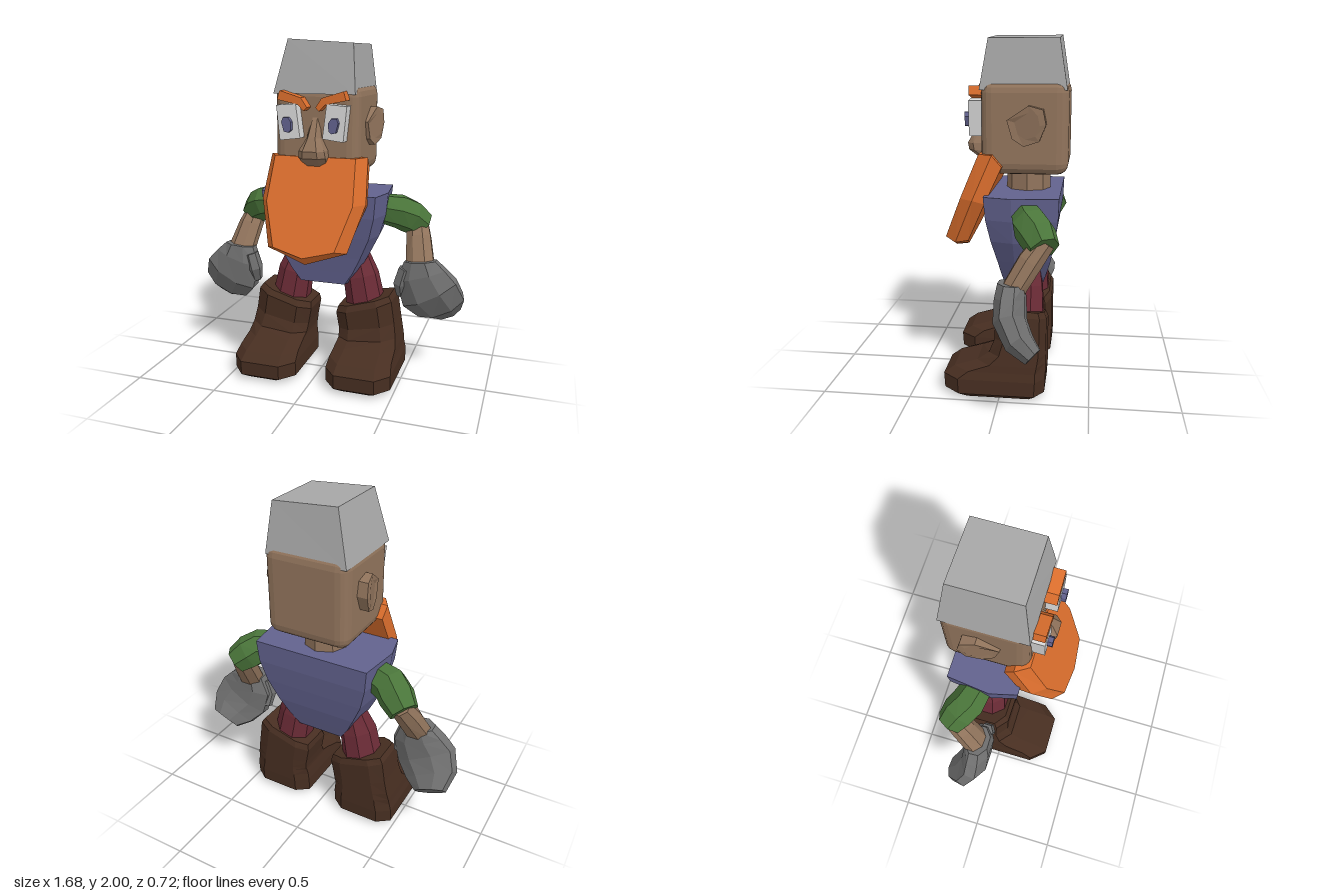
import * as THREE from 'three';
import { RoundedBoxGeometry } from 'three/addons/geometries/RoundedBoxGeometry.js';

const V = (x, y, z) => new THREE.Vector3(x, y, z);

// Skins a list of equal-length rings of points, closes both ends, faces outward.
function loft(rings) {
  const tris = [];
  const mid = r => r.reduce((a, p) => a.add(p), V(0, 0, 0)).divideScalar(r.length);
  const n = rings[0].length, last = rings[rings.length - 1];
  const c0 = mid(rings[0]), c1 = mid(last);
  for (let j = 0; j < n; j++) {
    const k = (j + 1) % n;
    for (let i = 0; i + 1 < rings.length; i++) {
      const a = rings[i], b = rings[i + 1];
      tris.push([a[j], a[k], b[k]], [a[j], b[k], b[j]]);
    }
    tris.push([c0, rings[0][k], rings[0][j]], [c1, last[j], last[k]]);
  }
  let volume = 0;
  for (const [a, b, c] of tris) volume += a.dot(b.clone().cross(c));
  const pts = tris.flatMap(([a, b, c]) => (volume < 0 ? [a, c, b] : [a, b, c]));
  const g = new THREE.BufferGeometry().setFromPoints(pts);
  g.computeVertexNormals();
  return g;
}

// Limb along a path; each stop is [x, y, z, half width, half depth].
function limb(stops, s, n = 8, wide = V(1, 0, 0)) {
  const c = stops.map(p => V(p[0], p[1], p[2]));
  return loft(stops.map((p, i) => {
    const t = c[Math.min(i + 1, c.length - 1)].clone().sub(c[Math.max(i - 1, 0)]).normalize();
    const u = wide.clone().addScaledVector(t, -wide.dot(t)).normalize();
    const v = t.clone().cross(u);
    return Array.from({ length: n }, (_, j) => {
      const a = (j + 0.5) / n * Math.PI * 2;
      const q = c[i].clone().addScaledVector(u, Math.cos(a) * p[3]).addScaledVector(v, Math.sin(a) * p[4]);
      q.x *= s;
      return q;
    });
  }));
}

// Outline in x, y pushed from z0 to z1.
const slab = (outline, z0, z1, s) => loft([z0, z1].map(z => outline.map(([x, y]) => V(x * s, y, z))));

export function createModel() {
  const model = new THREE.Group();
  const mat = (name, color) => {
    const m = new THREE.MeshStandardMaterial({ color, flatShading: true });
    m.name = name;
    return m;
  };
  const hatGrey = mat('hatGrey', 0xa8a8a8), gloveGrey = mat('gloveGrey', 0x707070);
  const skin = mat('skin', 0x91745c), orange = mat('orange', 0xdb6e2d);
  const blue = mat('blue', 0x62628e), green = mat('green', 0x4a753a);
  const brown = mat('bootBrown', 0x472e21), red = mat('trouserRed', 0x6c2c37);
  const white = mat('eyeWhite', 0xd8d8d8);
  const add = (name, geometry, material) => {
    const m = new THREE.Mesh(geometry, material);
    m.name = name;
    model.add(m);
    return m;
  };

  // Head and neck
  add('head', new RoundedBoxGeometry(0.5, 0.515, 0.485, 2, 0.065), skin).position.set(0, 1.4925, -0.1125);
  add('neck', new THREE.CylinderGeometry(0.125, 0.13, 0.2, 8), skin).position.set(0, 1.18, -0.12);

  // Tapered hat, its top leaning to one side
  const box = (x0, x1, y0, y1, z0, z1) => [V(x0, y0, z0), V(x1, y1, z0), V(x1, y1, z1), V(x0, y0, z1)];
  add('hat', loft([box(-0.247, 0.233, 1.7, 1.7, -0.345, 0.135), box(-0.175, 0.207, 2, 1.975, -0.3, 0.088)]), hatGrey);

  // Nose: [y, half width, front z]
  add('nose', loft([[1.57, 0.025, 0.13], [1.46, 0.04, 0.195], [1.39, 0.075, 0.232], [1.35, 0.08, 0.225], [1.3, 0.065, 0.16]]
    .map(([y, w, z]) => [V(-w, y, 0.1), V(-w, y, z - 0.035), V(-w * 0.55, y, z), V(w * 0.55, y, z), V(w, y, z - 0.035), V(w, y, 0.1)])), skin);

  // Beard: tilted slab with bevelled sides; rows are [half width, y]
  const beardRing = (rows, tip, z) => {
    const half = rows.map(([x, y]) => V(x, y, z(y)));
    return [...half, V(0, tip, z(tip)), ...half.slice().reverse().map(p => V(-p.x, p.y, p.z))];
  };
  add('beard', loft([
    beardRing([[0.24, 1.35], [0.255, 1.1], [0.18, 0.86]], 0.815, y => 0.14 + (1.35 - y) * 0.415),
    beardRing([[0.29, 1.35], [0.31, 1.1], [0.235, 0.84]], 0.765, y => 0.06 + (1.35 - y) * 0.43),
    beardRing([[0.285, 1.285], [0.3, 1.08], [0.22, 0.85]], 0.775, y => 0.005 + (1.285 - y) * 0.46)
  ]), orange);

  // Torso: [y, half width, front z, back z]
  add('torso', loft([[1.13, 0.385, 0.1, -0.315], [1.0, 0.372, 0.09, -0.31], [0.87, 0.335, 0.065, -0.29], [0.74, 0.27, 0.035, -0.265], [0.64, 0.215, 0.015, -0.235], [0.56, 0.155, 0, -0.21]]
    .map(([y, w, f, b]) => {
      const h = [V(w * 0.9, y, f), V(w, y, (f + b) / 2 + 0.05), V(w * 0.92, y, b)];
      return [...h, ...h.slice().reverse().map(p => V(-p.x, p.y, p.z))];
    })), blue);

  for (const s of [1, -1]) {
    const side = s > 0 ? 'left' : 'right';

    // Ear flares out towards the back
    const ear = [[-0.02, 1.54], [-0.14, 1.62], [-0.22, 1.6], [-0.237, 1.52], [-0.2, 1.43], [-0.115, 1.4], [-0.05, 1.44]];
    add(side + 'Ear', loft([
      ear.map(([z, y]) => V(s * 0.235, y, z)),
      ear.map(([z, y]) => V(s * (0.262 - z * 0.2), y, z)),
      ear.map(([z, y]) => V(s * (0.262 - z * 0.2), 1.51 + (y - 1.51) * 0.65, -0.14 + (z + 0.14) * 0.65))
    ]), skin);

    // Eye and brow
    add(side + 'Eye', slab([[0.065, 1.46], [0.185, 1.445], [0.205, 1.64], [0.09, 1.65]], 0.11, 0.2, s), white);
    add(side + 'Pupil', slab([[0.11, 1.505], [0.125, 1.492], [0.15, 1.497], [0.165, 1.55], [0.155, 1.575], [0.125, 1.575], [0.108, 1.55]], 0.19, 0.228, s), blue);
    add(side + 'BrowInner', slab([[0.025, 1.63], [0.045, 1.61], [0.08, 1.645], [0.06, 1.682]], 0.11, 0.198, s), orange);
    add(side + 'BrowOuter', slab([[0.06, 1.682], [0.08, 1.645], [0.2, 1.67], [0.185, 1.72]], 0.11, 0.198, s), orange);

    // Arm
    add(side + 'Sleeve', limb([[0.32, 1.02, -0.14, 0.09, 0.09], [0.43, 1.0, -0.17, 0.105, 0.105], [0.49, 0.965, -0.21, 0.105, 0.105], [0.555, 0.91, -0.25, 0.085, 0.085]], s, 7, V(0, 1, 0)), green);
    add(side + 'Forearm', limb([[0.525, 0.94, -0.25, 0.065, 0.06], [0.55, 0.84, -0.18, 0.078, 0.07], [0.585, 0.67, -0.08, 0.09, 0.065]], s), skin);

    // Mitten curling backwards, with thumb
    add(side + 'Glove', limb([
      [0.58, 0.73, -0.085, 0.1, 0.075], [0.588, 0.645, -0.08, 0.16, 0.085], [0.64, 0.54, -0.085, 0.19, 0.09],
      [0.7, 0.45, -0.14, 0.165, 0.08], [0.725, 0.39, -0.21, 0.1, 0.055]
    ], s, 8, V(0.9, 0.4, 0)), gloveGrey);
    add(side + 'Thumb', limb([[0.5, 0.68, -0.06, 0.045, 0.045], [0.475, 0.59, -0.06, 0.05, 0.05], [0.475, 0.51, -0.09, 0.035, 0.035]], s, 6), gloveGrey);

    // Leg
    add(side + 'Leg', limb([[0.18, 0.72, -0.13, 0.08, 0.08], [0.21, 0.6, -0.12, 0.11, 0.11], [0.245, 0.42, -0.12, 0.12, 0.12]], s), red);

    // Boot: [y, inner x, outer x, back z, front z, slope of the ring]
    const boot = [
      [0.005, 0.13, 0.45, -0.22, 0.27, 0], [0.035, 0.095, 0.485, -0.25, 0.315, 0], [0.12, 0.095, 0.485, -0.255, 0.32, 0],
      [0.165, 0.1, 0.475, -0.255, 0.26, 0], [0.205, 0.105, 0.47, -0.255, 0.13, 0], [0.235, 0.105, 0.46, -0.255, 0.065, 0.1],
      [0.3, 0.1, 0.445, -0.255, 0.035, 0.2], [0.42, 0.082, 0.425, -0.255, 0.035, 0.3], [0.455, 0.09, 0.405, -0.24, 0.01, 0.3]
    ];
    add(side + 'Boot', loft(boot.map(([y, x0, x1, z0, z1, slope]) => {
      const bx = 0.075, bz = Math.min(0.09, (z1 - z0) * 0.2);
      return [[x0 + bx, z1], [x1 - bx, z1], [x1, z1 - bz], [x1, z0 + bz * 0.6], [x1 - bx, z0], [x0 + bx, z0], [x0, z0 + bz * 0.6], [x0, z1 - bz]]
        .map(([x, z]) => V(s * x, y + (x - 0.25) * slope, z));
    })), brown);
  }
  return model;
}
